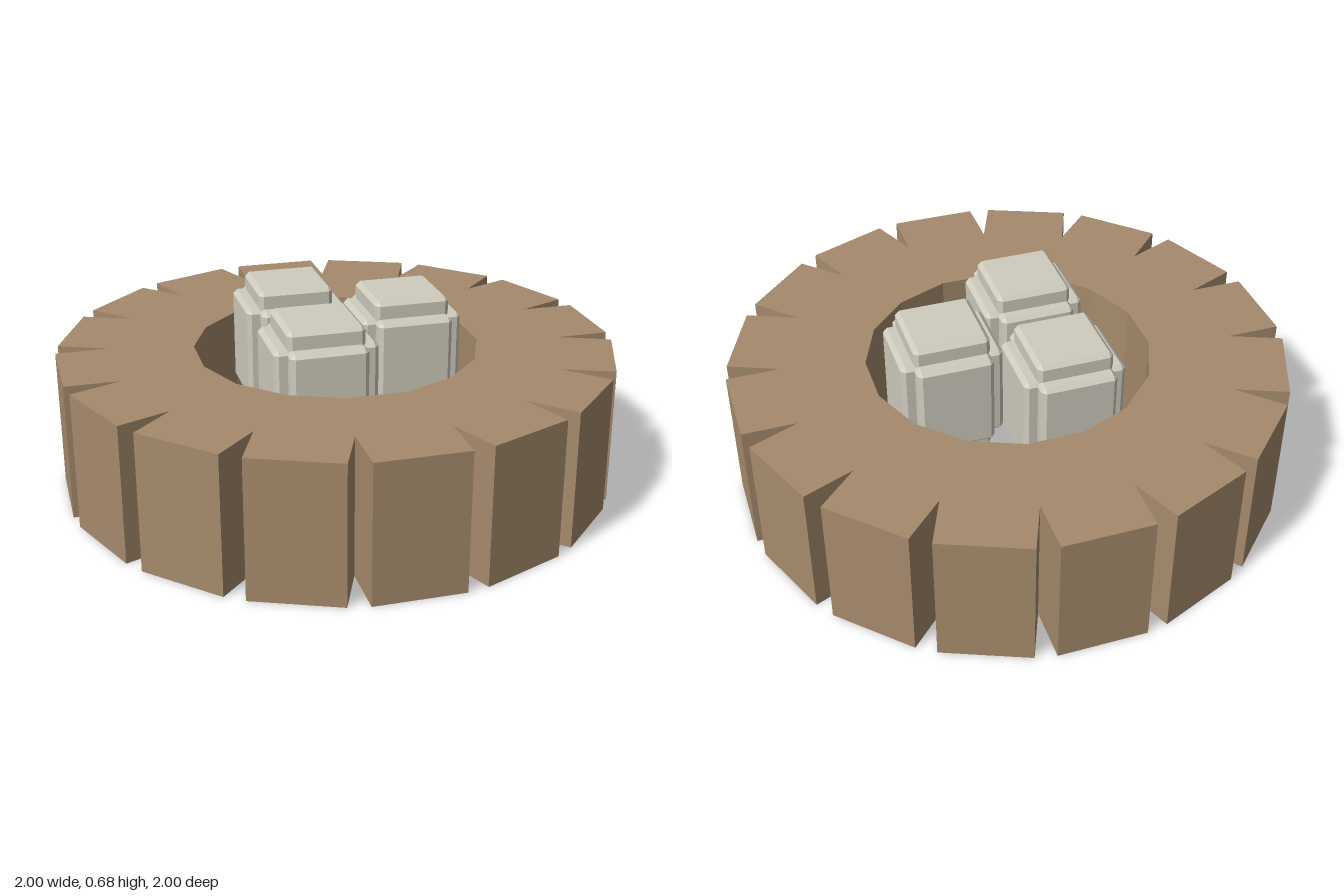
import * as THREE from 'three';
import { ConvexGeometry } from 'three/addons/geometries/ConvexGeometry.js';

const SIDES = 16;

// Box with all edges chamfered by c, given half sizes
function chamferBox(hx, hy, hz, c) {
  const points = [];
  for (const x of [-1, 1]) for (const y of [-1, 1]) for (const z of [-1, 1]) {
    points.push(
      new THREE.Vector3(x * hx, y * (hy - c), z * (hz - c)),
      new THREE.Vector3(x * (hx - c), y * hy, z * (hz - c)),
      new THREE.Vector3(x * (hx - c), y * (hy - c), z * hz));
  }
  return new ConvexGeometry(points);
}

// Ring with square teeth separated by V notches, and a 16-sided hole
function ringGeometry() {
  const outline = [];
  const hole = [];
  const step = (Math.PI * 2) / SIDES;
  for (let i = 0; i < SIDES; i++) {
    const a = i * step;
    const at = (r, t) => new THREE.Vector2(
      r * Math.cos(a) - t * Math.sin(a), r * Math.sin(a) + t * Math.cos(a));
    outline.push(at(0.805, -0.16), at(1, -0.16), at(1, 0.16));
    hole.push(at(0.508, 0.101));
  }
  const shape = new THREE.Shape(outline);
  shape.holes.push(new THREE.Path(hole));
  const geometry = new THREE.ExtrudeGeometry(shape, { depth: 0.497, bevelEnabled: false });
  return geometry.rotateX(-Math.PI / 2);
}

export function createModel() {
  const model = new THREE.Group();
  const brown = new THREE.MeshStandardMaterial({ name: 'brown', color: 0xa58a6c, flatShading: true });
  const paleStone = new THREE.MeshStandardMaterial({ name: 'paleStone', color: 0xcfccbe, flatShading: true });

  const ring = new THREE.Mesh(ringGeometry(), brown);
  ring.name = 'notchedRing';
  model.add(ring);

  // Each block is three chamfered boxes crossing, one long along each axis
  const parts = [
    ['blockAcross', chamferBox(0.185, 0.178, 0.138, 0.016)],
    ['blockUpright', chamferBox(0.138, 0.242, 0.138, 0.016)],
    ['blockDeep', chamferBox(0.138, 0.178, 0.185, 0.016)],
  ];
  for (const [x, z] of [[-0.126, -0.221], [-0.126, 0.212], [0.248, -0.005]]) {
    const block = new THREE.Group();
    block.name = 'block';
    for (const [name, geometry] of parts) {
      const mesh = new THREE.Mesh(geometry, paleStone);
      mesh.name = name;
      block.add(mesh);
    }
    block.position.set(x, 0.442, z);
    model.add(block);
  }
  return model;
}
